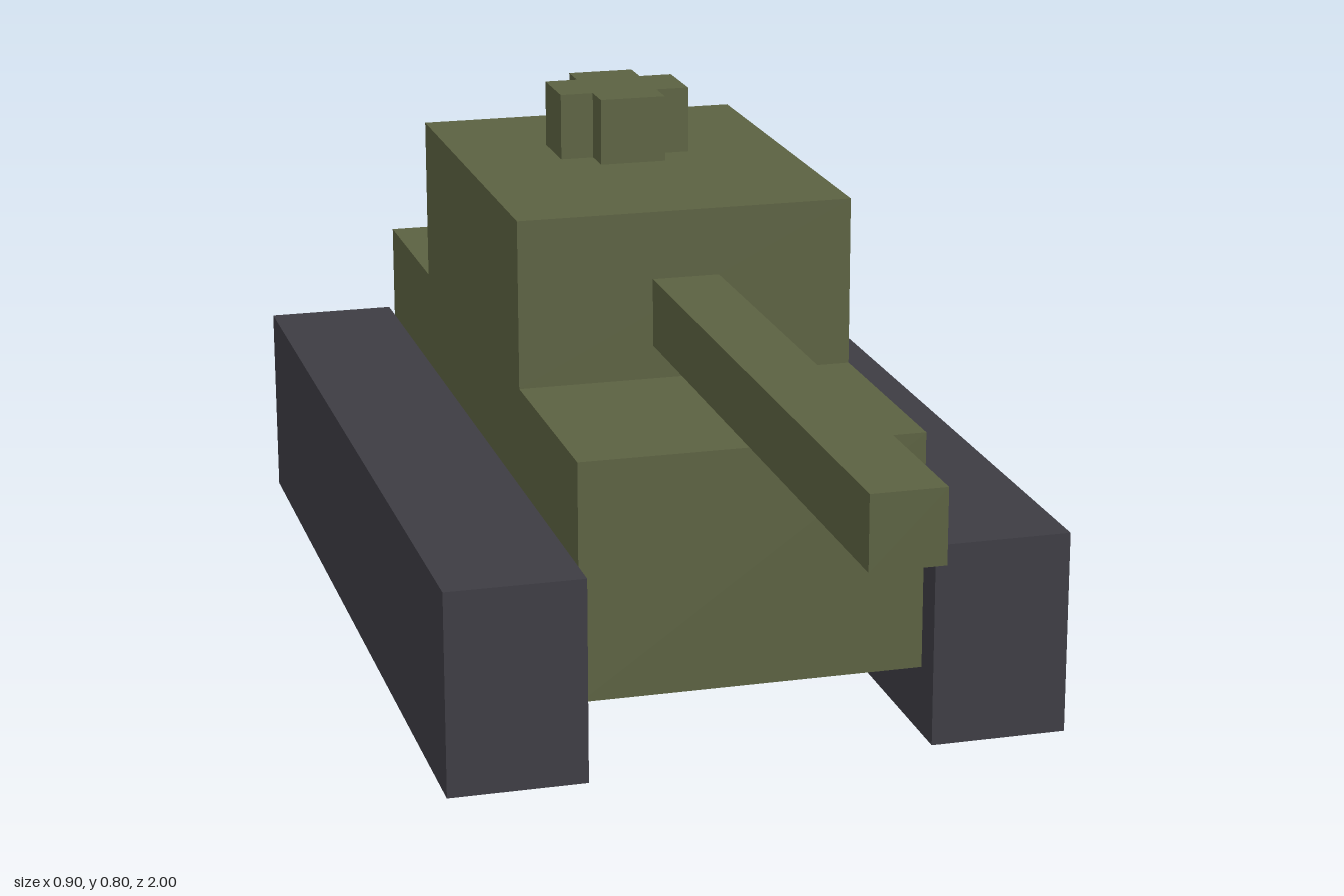
import * as THREE from 'three';

export function createModel() {
  const model = new THREE.Group();
  model.name = 'tank';

  const olive = new THREE.MeshStandardMaterial({ color: 0x5b6141 });
  olive.name = 'olive armour';
  const charcoal = new THREE.MeshStandardMaterial({ color: 0x3d3c43 });
  charcoal.name = 'charcoal track';

  function add(name, geometry, material) {
    const mesh = new THREE.Mesh(geometry, material);
    mesh.name = name;
    model.add(mesh);
    return mesh;
  }

  // Box given by its extents along each axis
  function box(name, material, [x0, x1], [y0, y1], [z0, z1]) {
    const mesh = add(name, new THREE.BoxGeometry(x1 - x0, y1 - y0, z1 - z0), material);
    mesh.position.set((x0 + x1) / 2, (y0 + y1) / 2, (z0 + z1) / 2);
  }

  // Body
  box('hull', olive, [-0.25, 0.25], [0.1, 0.45], [-0.95, 0.35]);
  box('turret', olive, [-0.25, 0.25], [0.45, 0.7], [-0.65, 0]);
  box('gunBarrel', olive, [-0.05, 0.05], [0.5, 0.6], [0, 1]);

  // Tracks
  box('leftTrack', charcoal, [0.25, 0.45], [0, 0.3], [-1, 0.4]);
  box('rightTrack', charcoal, [-0.45, -0.25], [0, 0.3], [-1, 0.4]);

  // Cross-shaped hatch: one arm outline turned four times
  const a = 0.05, b = 0.1;
  const points = [];
  for (let i = 0; i < 4; i++) {
    for (const [x, y] of [[b, -a], [b, a], [a, a]]) {
      const p = [[x, y], [-y, x], [-x, -y], [y, -x]][i];
      points.push(new THREE.Vector2(p[0], p[1]));
    }
  }
  const hatchGeometry = new THREE.ExtrudeGeometry(new THREE.Shape(points), { depth: 0.1, bevelEnabled: false });
  hatchGeometry.rotateX(-Math.PI / 2);
  add('hatch', hatchGeometry, olive).position.set(0, 0.7, -0.4);

  return model;
}
